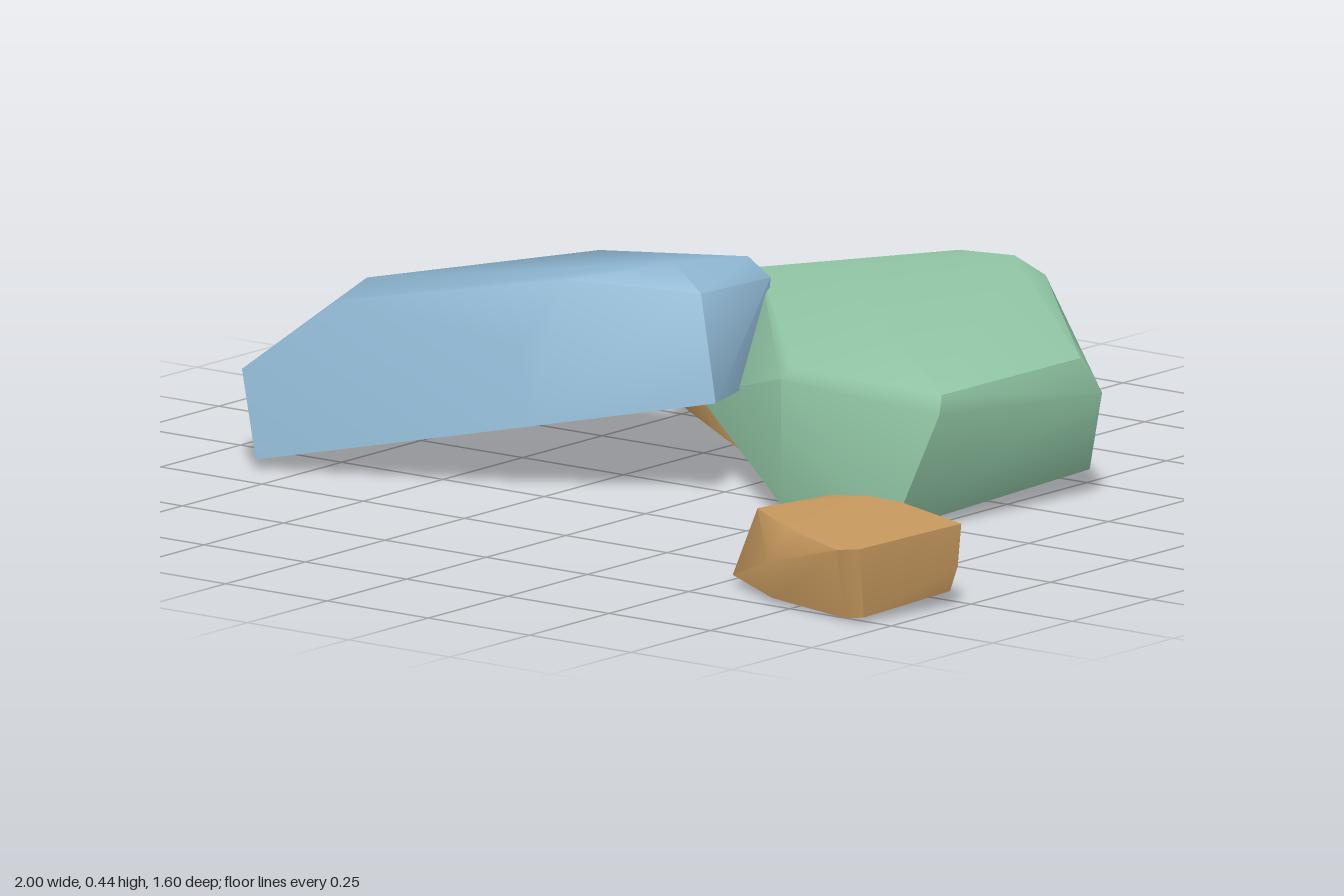
import * as THREE from 'three';
import { ConvexGeometry } from 'three/addons/geometries/ConvexGeometry.js';
import { toCreasedNormals } from 'three/addons/utils/BufferGeometryUtils.js';

const paint = (name, color) => {
  const m = new THREE.MeshStandardMaterial({ color });
  m.name = name;
  return m;
};

// A faceted stone wrapped around its bottom, side and top rims, softened except at sharp edges
function stone(name, material, ...rims) {
  const points = rims.flat().map((p) => new THREE.Vector3(...p));
  const mesh = new THREE.Mesh(toCreasedNormals(new ConvexGeometry(points), 0.9), material);
  mesh.name = name;
  return mesh;
}

export function createModel() {
  const group = new THREE.Group();
  group.name = 'stones';
  const blue = paint('dusty blue', 0x8fb7d3);
  const green = paint('sage green', 0x8fc4a3);
  const ochre = paint('ochre', 0xc89a5f);

  // Long slab leaning up towards the middle
  group.add(stone('blueSlab', blue,
    [[-0.97, 0.005, -0.06], [-0.84, 0.02, 0.405], [-0.3, 0.13, 0.24], [0.04, 0.195, 0.08], [-0.07, 0.18, -0.2], [-0.55, 0.09, -0.3]],
    [[-1, 0.23, -0.05], [-0.89, 0.19, 0.385], [-0.34, 0.28, 0.21], [-0.02, 0.4, 0.05], [-0.06, 0.38, -0.22], [-0.55, 0.3, -0.315], [-0.61, 0.29, -0.295]],
    [[-0.9, 0.3, -0.02], [-0.72, 0.335, 0.3], [-0.28, 0.41, 0.15], [-0.11, 0.445, 0.02], [-0.1, 0.42, -0.2], [-0.53, 0.36, -0.28]]));

  // Broad central stone sloping down to the front right
  group.add(stone('greenBoulder', green,
    [[0.5, 0.01, 0.11], [0.24, 0.03, 0.13], [-0.28, 0.11, -0.27], [0.15, 0.11, -0.64], [0.3, 0.09, -0.6], [0.57, 0.05, -0.42]],
    [[0.64, 0.22, -0.37], [0.6, 0.25, 0.09], [0.24, 0.28, 0.13], [-0.23, 0.24, -0.3], [0.04, 0.33, -0.64]],
    [[0.61, 0.29, -0.34], [0.59, 0.285, 0.07], [0.25, 0.3, 0.11], [-0.15, 0.375, -0.3], [0, 0.382, -0.36], [0.06, 0.375, -0.66], [0.18, 0.377, -0.68], [0.28, 0.357, -0.65]]));

  // Flat stone tucked under the back
  group.add(stone('backStone', ochre,
    [[-0.55, 0.03, -0.56], [-0.43, 0.025, -0.78], [0.1, 0, -0.57], [0.155, 0.005, -0.45], [0, 0.01, -0.26], [-0.18, 0.015, -0.27], [-0.5, 0.03, -0.48]],
    [[-0.55, 0.09, -0.56], [-0.435, 0.08, -0.8], [0.06, 0.1, -0.6], [-0.51, 0.1, -0.48]],
    [[-0.49, 0.19, -0.58], [-0.46, 0.2, -0.77], [-0.43, 0.215, -0.78], [0.04, 0.2, -0.6], [0.05, 0.18, -0.4], [-0.22, 0.17, -0.31], [-0.48, 0.16, -0.47]]));

  // Small loose stone at the front
  group.add(stone('frontStone', ochre,
    [[0.9, 0.005, 0.77], [0.94, 0.01, 0.76], [0.69, 0.01, 0.73], [0.53, 0.02, 0.65], [0.58, 0.02, 0.49], [0.7, 0.02, 0.455], [0.98, 0.03, 0.54]],
    [[0.545, 0.1, 0.6], [0.995, 0.08, 0.535], [0.68, 0.08, 0.73]],
    [[0.56, 0.15, 0.61], [0.585, 0.15, 0.5], [0.62, 0.158, 0.46], [0.7, 0.165, 0.443], [0.79, 0.165, 0.45], [1, 0.165, 0.53], [0.945, 0.15, 0.78], [0.9, 0.145, 0.795], [0.7, 0.145, 0.7]]));

  return group;
}
